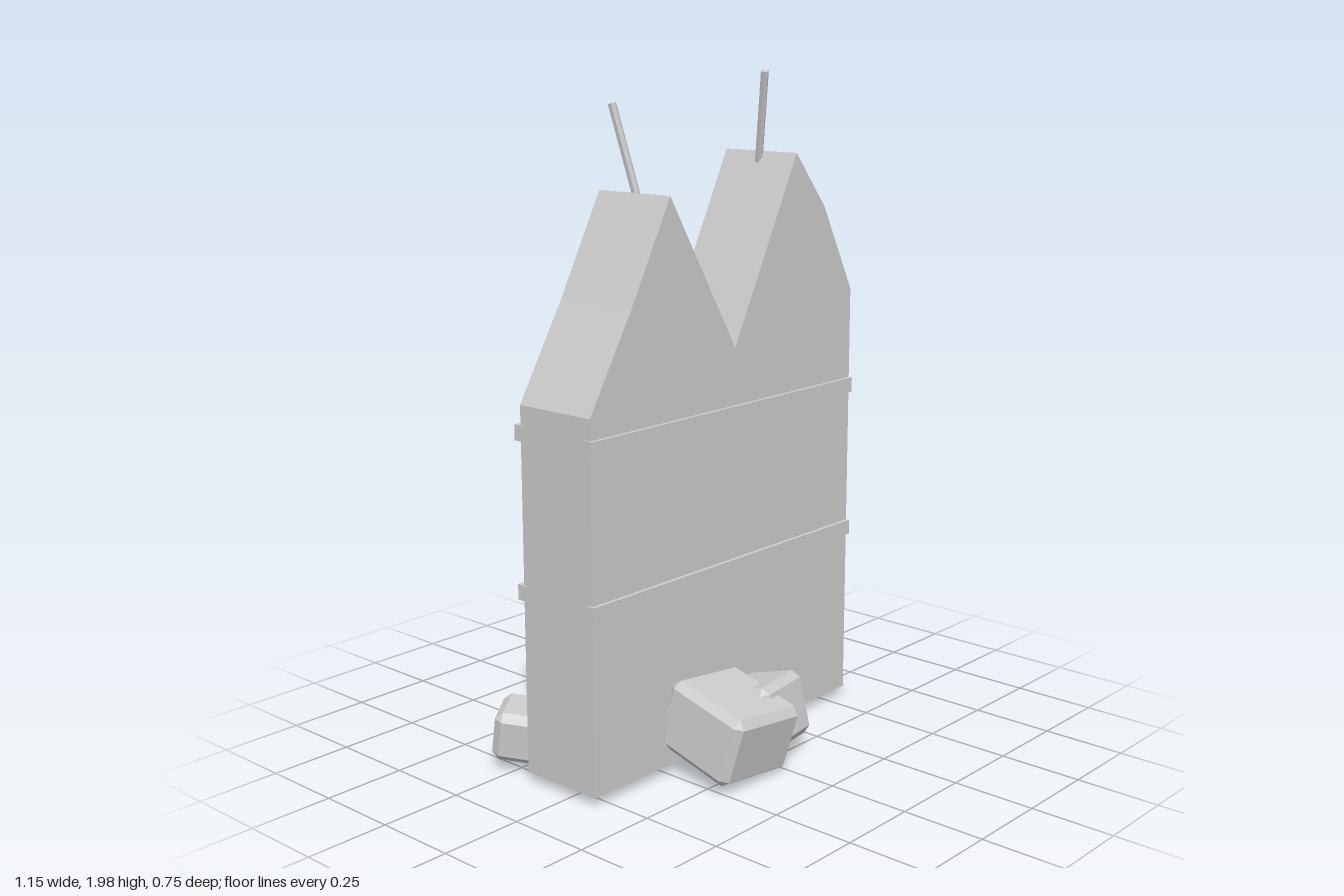
import * as THREE from 'three';
import { ConvexGeometry } from 'three/addons/geometries/ConvexGeometry.js';

export function createModel() {
  const model = new THREE.Group();
  const material = new THREE.MeshStandardMaterial({ color: 0xcccccc, flatShading: true });

  function add(name, geometry, position = [0, 0, 0], rotation = [0, 0, 0]) {
    const mesh = new THREE.Mesh(geometry, material);
    mesh.name = name;
    mesh.position.set(...position);
    mesh.rotation.set(...rotation, 'YXZ');
    model.add(mesh);
    return mesh;
  }

  // Broken wall slab with a jagged top
  const outline = [
    [-0.55, 0.05], [0.575, 0.05], [0.575, 1.34], [0.44, 1.6], [0.305, 1.765],
    [0.035, 1.23], [-0.235, 1.68], [-0.39, 1.39], [-0.55, 1.12],
  ].map(([x, y]) => new THREE.Vector2(x, y));
  const slab = new THREE.ExtrudeGeometry(new THREE.Shape(outline), { depth: 0.268, bevelEnabled: false });
  add('wall', slab, [0, 0, -0.167]);

  // Thin horizontal ledges on both faces
  for (const y of [0.583, 1.04]) {
    add('frontLedge', new THREE.BoxGeometry(1.13, 0.045, 0.03), [0.01, y, 0.098], [0, 0, 0.003]);
    add('backLedge', new THREE.BoxGeometry(1.13, 0.045, 0.035), [0.01, y, -0.169], [0, 0, -0.003]);
  }

  // Reinforcing bars sticking out of the broken edge
  function bar(a, b, radius) {
    const from = new THREE.Vector3(...a);
    const dir = new THREE.Vector3(...b).sub(from);
    const mesh = add('rebar', new THREE.CylinderGeometry(radius, radius, dir.length(), 6));
    mesh.position.copy(from).addScaledVector(dir, 0.5);
    mesh.quaternion.setFromUnitVectors(new THREE.Vector3(0, 1, 0), dir.normalize());
  }
  bar([-0.208, 1.6, -0.025], [-0.255, 1.92, -0.095], 0.012);
  bar([0.305, 1.7, -0.045], [0.249, 1.998, 0.025], 0.012);
  bar([0.493, 1.43, -0.097], [0.503, 1.57, -0.113], 0.015);

  // Chamfered block: every corner is cut by three inset points
  function block(w, h, d, c) {
    const points = [];
    for (const sx of [-1, 1]) for (const sy of [-1, 1]) for (const sz of [-1, 1]) {
      const x = w / 2, y = h / 2, z = d / 2;
      for (const [px, py, pz] of [[x, y - c, z - c], [x - c, y, z - c], [x - c, y - c, z]]) {
        points.push(new THREE.Vector3(sx * px, sy * py, sz * pz));
      }
    }
    return new ConvexGeometry(points);
  }

  // Rubble at the foot: two large blocks in front, three small ones behind
  const rubble = [
    { size: [0.28, 0.21, 0.28], at: [-0.12, 0.163, 0.215], turn: [0.24, -0.04, -0.11] },
    { size: [0.23, 0.19, 0.21], at: [0.035, 0.153, 0.2], turn: [-0.25, 0.2, -0.04] },
    { size: [0.17, 0.15, 0.19], at: [-0.46, 0.125, -0.255], turn: [0.12, 0.64, 0.08] },
    { size: [0.18, 0.15, 0.17], at: [-0.26, 0.118, -0.255], turn: [-0.1, -0.28, -0.12] },
    { size: [0.15, 0.15, 0.17], at: [0.137, 0.12, -0.252], turn: [0.12, -0.53, 0.1] },
  ];
  for (const { size, at, turn } of rubble) add('rubbleBlock', block(...size, 0.022), at, turn);

  return model;
}
